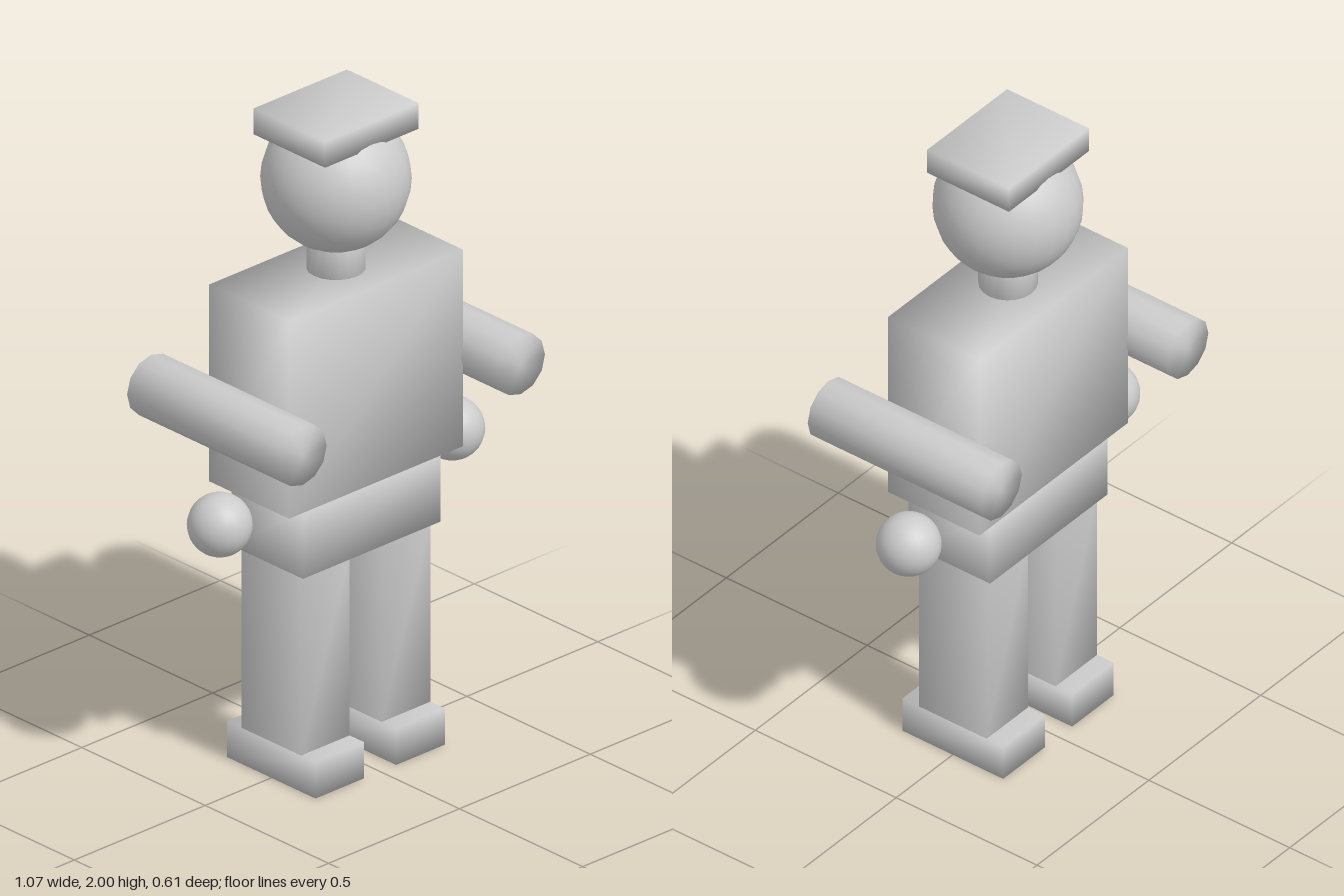
import * as THREE from 'three';
import { mergeVertices } from 'three/addons/utils/BufferGeometryUtils.js';

const material = new THREE.MeshStandardMaterial({ color: 0xcccccc });

// Weld corners so that normals run smoothly across all edges
function soften(geometry) {
  geometry.deleteAttribute('normal');
  geometry.deleteAttribute('uv');
  const welded = mergeVertices(geometry, 1e-4);
  welded.computeVertexNormals();
  return welded;
}

export function createModel() {
  const model = new THREE.Group();
  model.name = 'figure';

  function add(name, geometry, x, y, z = 0) {
    const mesh = new THREE.Mesh(geometry, material);
    mesh.name = name;
    mesh.position.set(x, y, z);
    model.add(mesh);
    return mesh;
  }

  // Box given by width, depth and the heights of its bottom and top
  function addBox(name, x, width, depth, bottom, top) {
    const box = new THREE.BoxGeometry(width, top - bottom, depth);
    return add(name, soften(box), x, (bottom + top) / 2);
  }

  // Head, cap and neck
  addBox('cap', 0, 0.357, 0.29, 1.92, 2.0);
  add('head', new THREE.SphereGeometry(0.211, 24, 16), 0, 1.779);
  add('neck', soften(new THREE.CylinderGeometry(0.083, 0.083, 0.14, 20)), 0, 1.55);

  // Body
  addBox('torso', 0, 0.664, 0.324, 0.89, 1.5);
  addBox('hips', 0, 0.526, 0.29, 0.674, 0.89);

  // Limbs, mirrored
  for (const [side, s] of [['left', 1], ['right', -1]]) {
    const arm = soften(new THREE.CylinderGeometry(0.092, 0.092, 0.614, 12));
    add(side + 'Arm', arm, s * 0.417, 1.167).rotation.x = Math.PI / 2;
    add(side + 'Hand', new THREE.SphereGeometry(0.092, 24, 16), s * 0.444, 0.852);
    addBox(side + 'Leg', s * 0.154, 0.186, 0.24, 0.112, 0.674);
    addBox(side + 'Foot', s * 0.154, 0.186, 0.358, 0, 0.112);
  }

  return model;
}
